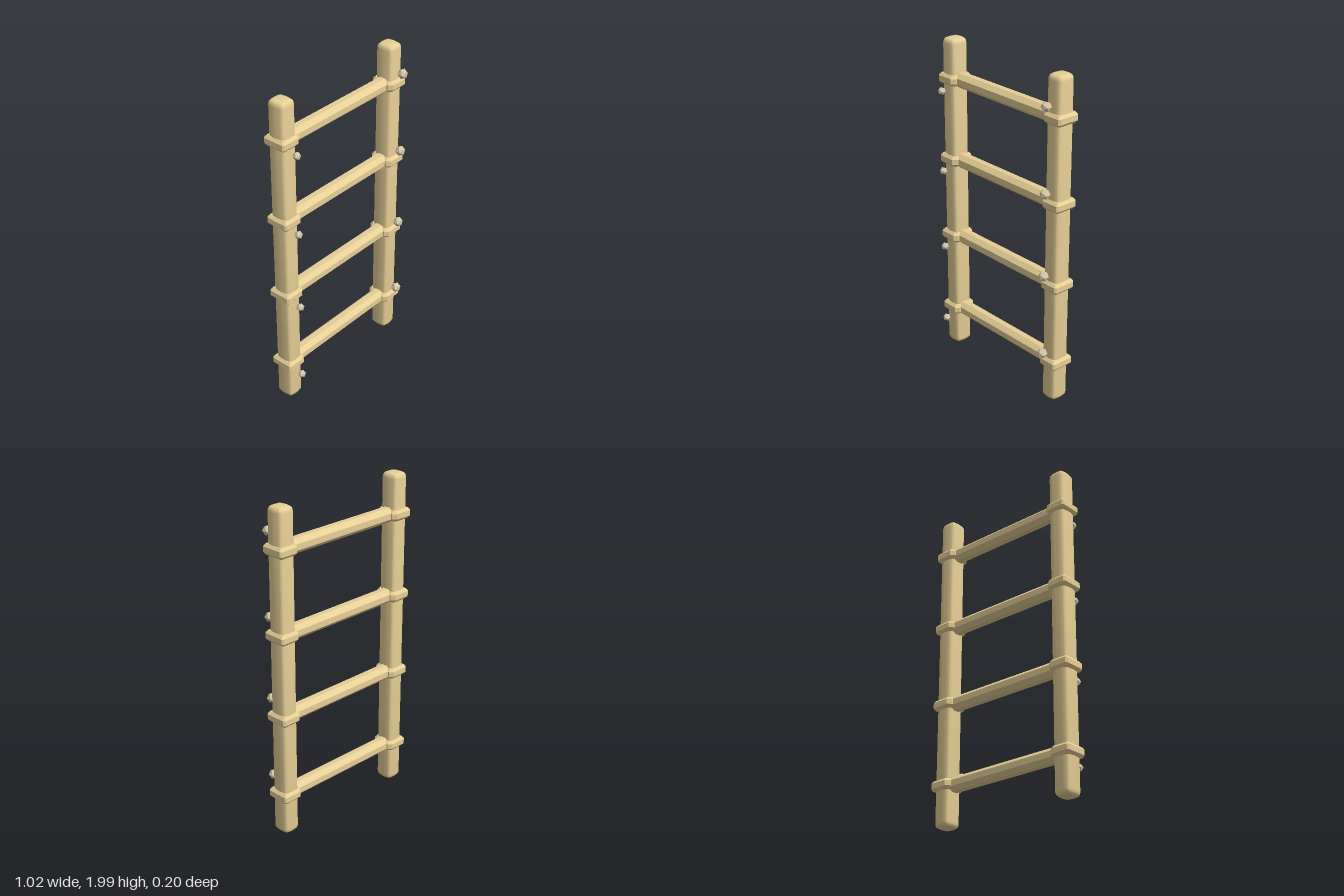
import * as THREE from 'three';
import { toCreasedNormals } from 'three/addons/utils/BufferGeometryUtils.js';

const AXIS_Z = -0.03; // depth of the ladder's centre plane
const POST_X = 0.44;

const wood = new THREE.MeshStandardMaterial({ color: 0xe6cf96 });
const flatWood = new THREE.MeshStandardMaterial({ color: 0xe6cf96, flatShading: true });
const nailMaterial = new THREE.MeshStandardMaterial({ color: 0xd4c8aa, flatShading: true });

// Upright bevelled block from a plan outline, centred on its own height
function bevelledBlock(shape, height, bevel, drop, segments) {
  const geometry = new THREE.ExtrudeGeometry(shape, {
    depth: height - 2 * drop, bevelEnabled: true, bevelSize: bevel,
    bevelOffset: -bevel, bevelThickness: drop, bevelSegments: segments, curveSegments: 3,
  });
  geometry.translate(0, 0, drop - height / 2);
  return geometry.rotateX(-Math.PI / 2);
}

// Post plan: a square with gently bulging sides and softened corners
function postShape(w, d) {
  const x = w / 2, z = d / 2, r = 0.026, b = 0.004;
  const s = new THREE.Shape();
  s.moveTo(-x + r, -z + b);
  s.quadraticCurveTo(0, -z - b, x - r, -z + b);
  s.quadraticCurveTo(x - b, -z + b, x - b, -z + r);
  s.quadraticCurveTo(x + b, 0, x - b, z - r);
  s.quadraticCurveTo(x - b, z - b, x - r, z - b);
  s.quadraticCurveTo(0, z + b, -x + r, z - b);
  s.quadraticCurveTo(-x + b, z - b, -x + b, z - r);
  s.quadraticCurveTo(-x - b, 0, -x + b, -z + r);
  s.quadraticCurveTo(-x + b, -z + b, -x + r, -z + b);
  return s;
}

// Collar plan: a square with wide cuts towards the rung (+x), small ones outside
function collarShape(w, d) {
  const x = w / 2, z = d / 2, inner = 0.022, outer = 0.01;
  return new THREE.Shape([
    [-x + outer, -z], [x - inner, -z], [x, -z + inner], [x, z - inner],
    [x - inner, z], [-x + outer, z], [-x, z - outer], [-x, -z + outer],
  ].map(([a, b]) => new THREE.Vector2(a, b)));
}

export function createModel() {
  const group = new THREE.Group();
  const add = (name, geometry, material, x, y, z) => {
    const mesh = new THREE.Mesh(geometry, material);
    mesh.name = name;
    mesh.position.set(x, y, z);
    group.add(mesh);
    return mesh;
  };

  const post = toCreasedNormals(bevelledBlock(postShape(0.11, 0.117), 1.99, 0.022, 0.03, 4), 0.6);
  const collar = bevelledBlock(collarShape(0.138, 0.148), 0.064, 0.014, 0.016, 1);
  const rung = new THREE.CylinderGeometry(0.047, 0.047, 0.86, 8);
  rung.rotateY(Math.PI / 8).rotateZ(Math.PI / 2); // a flat facet faces up
  const smallNail = new THREE.IcosahedronGeometry(0.024, 0);
  const largeNail = new THREE.IcosahedronGeometry(0.031, 0);

  // Side posts
  add('leftPost', post, wood, POST_X, 1.002, AXIS_Z);
  add('rightPost', post, wood, -POST_X, 1.002, AXIS_Z);

  // Rungs, each with two collars and two nails
  for (let i = 0; i < 4; i++) {
    const y = 0.255 + i * 0.5;
    add('rung', rung, flatWood, 0, y, AXIS_Z);
    add('rightCollar', collar, flatWood, -POST_X, y, AXIS_Z);
    add('leftCollar', collar, flatWood, POST_X, y, AXIS_Z).rotation.y = Math.PI;
    add('largeNail', largeNail, nailMaterial, POST_X, y + 0.08, 0.072);
    add('smallNail', smallNail, nailMaterial, -POST_X, y - 0.06, 0.072);
  }
  return group;
}
